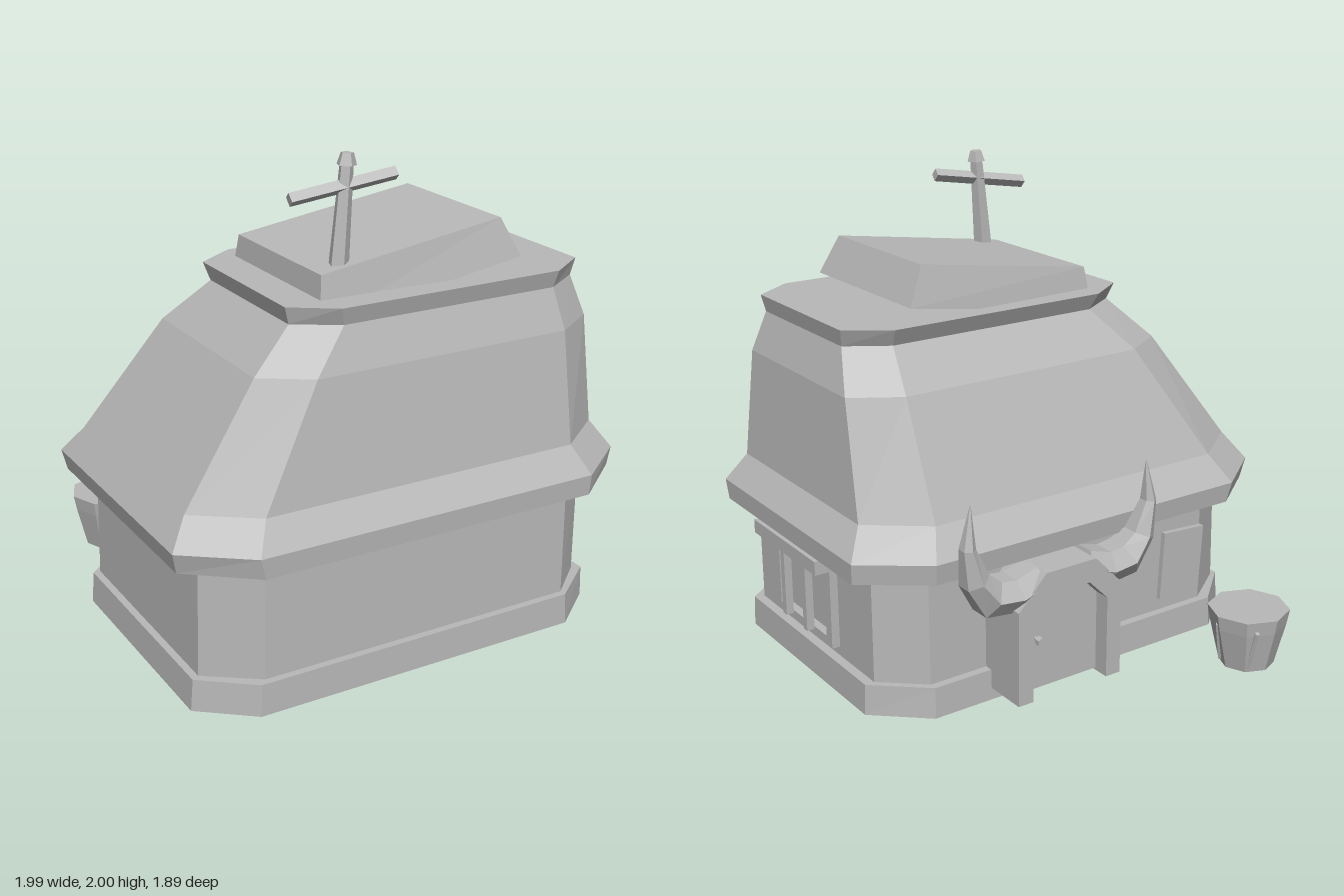
import * as THREE from 'three';

const stone = new THREE.MeshStandardMaterial({ color: 0xb8b8b8, flatShading: true, side: THREE.DoubleSide });
stone.name = 'plain grey';

const V = (x, y, z) => new THREE.Vector3(x, y, z);

// Flat-faced skin over a stack of rings (counter-clockwise seen from the end)
function loft(rings, capStart = true, capEnd = true) {
  const pos = [];
  const tri = (...p) => p.forEach(v => pos.push(v.x, v.y, v.z));
  const n = rings[0].length;
  for (let i = 0; i + 1 < rings.length; i++) {
    for (let j = 0; j < n; j++) {
      const k = (j + 1) % n, a = rings[i], b = rings[i + 1];
      tri(a[j], a[k], b[k]);
      tri(a[j], b[k], b[j]);
    }
  }
  const s = rings[0], e = rings[rings.length - 1];
  for (let j = 1; j < n - 1; j++) {
    if (capStart) tri(s[0], s[j + 1], s[j]);
    if (capEnd) tri(e[0], e[j], e[j + 1]);
  }
  const g = new THREE.BufferGeometry();
  g.setAttribute('position', new THREE.Float32BufferAttribute(pos, 3));
  g.computeVertexNormals();
  return g;
}

// Chamfered rectangle: outer x, x of the cut corners, outer z, z of the cut corners
function octagon(y, [x0, x1], [cx0, cx1], [z0, z1], [cz0, cz1]) {
  return [[x1, cz1], [x1, cz0], [cx1, z0], [cx0, z0], [x0, cz0], [x0, cz1], [cx0, z1], [cx1, z1]]
    .map(([x, z]) => V(x, y, z));
}

export function createModel() {
  const root = new THREE.Group();
  root.name = 'hut';

  const add = (name, geometry, parent = root) => {
    const m = new THREE.Mesh(geometry, stone);
    m.name = name;
    parent.add(m);
    return m;
  };
  const group = name => {
    const g = new THREE.Group();
    g.name = name;
    root.add(g);
    return g;
  };
  // Box given by its extents
  const box = (name, [x0, x1], [y0, y1], [z0, z1], parent) => {
    const m = add(name, new THREE.BoxGeometry(x1 - x0, y1 - y0, z1 - z0), parent);
    m.position.set((x0 + x1) / 2, (y0 + y1) / 2, (z0 + z1) / 2);
    return m;
  };
  // Tapered bar between two points
  const bar = (name, a, b, ra, rb, sides, parent) => {
    const d = b.clone().sub(a);
    const m = add(name, new THREE.CylinderGeometry(rb, ra, d.length(), sides), parent);
    m.position.copy(a).add(b).multiplyScalar(0.5);
    m.quaternion.setFromUnitVectors(V(0, 1, 0), d.normalize());
    return m;
  };

  // Plinth (hollow underneath) and walls
  add('plinth', loft([
    octagon(0, [-0.92, 0.915], [-0.71, 0.705], [-0.445, 0.875], [-0.26, 0.71]),
    octagon(0.13, [-0.91, 0.91], [-0.705, 0.70], [-0.44, 0.87], [-0.26, 0.71]),
  ], false, true));
  add('walls', loft([
    octagon(0.13, [-0.88, 0.87], [-0.675, 0.70], [-0.405, 0.84], [-0.26, 0.695]),
    octagon(0.61, [-0.87, 0.87], [-0.67, 0.70], [-0.40, 0.835], [-0.26, 0.695]),
  ]));

  // Roof
  const roofTop = octagon(1.42, [-0.46, 0.815], [-0.29, 0.65], [-0.10, 0.745], [0.005, 0.64]);
  add('roof', loft([
    octagon(0.60, [-0.975, 0.985], [-0.72, 0.73], [-0.51, 0.94], [-0.32, 0.74]),
    octagon(0.685, [-0.995, 0.99], [-0.74, 0.735], [-0.52, 0.945], [-0.33, 0.755]),
    octagon(0.80, [-0.92, 0.91], [-0.68, 0.68], [-0.43, 0.87], [-0.25, 0.70]),
    octagon(1.255, [-0.62, 0.87], [-0.43, 0.675], [-0.23, 0.80], [-0.11, 0.675]),
    roofTop,
  ]));
  add('roofRim', loft([
    roofTop,
    octagon(1.49, [-0.48, 0.83], [-0.31, 0.66], [-0.135, 0.765], [-0.02, 0.65]),
  ]));

  // Tilted slab on top of the roof
  add('roofSlab', loft([
    [V(0.545, 1.54, 0.67), V(0.545, 1.54, -0.06), V(-0.34, 1.40, -0.05), V(-0.34, 1.40, 0.66)],
    [V(0.47, 1.695, 0.63), V(0.47, 1.695, -0.02), V(-0.32, 1.58, -0.02), V(-0.32, 1.58, 0.63)],
  ]));

  // Leaning roof cross
  const cross = group('roofCross');
  bar('post', V(-0.22, 1.49, 0.57), V(-0.175, 1.96, 0.56), 0.043, 0.027, 5, cross);
  bar('postCap', V(-0.175, 1.955, 0.56), V(-0.172, 2.0, 0.56), 0.039, 0.025, 5, cross);
  bar('crossbar', V(-0.40, 1.848, 0.54), V(0.02, 1.91, 0.585), 0.027, 0.027, 4, cross);

  // Arched doorway on the back wall
  const door = group('doorway');
  const doorX = 0.19;
  const arch = (w, y0, y1, topW, y2) => [[-w, y0], [w, y0], [w, y1], [topW, y2], [-topW, y2], [-w, y1]]
    .map(([x, y]) => new THREE.Vector2(x + doorX, y));
  const frame = new THREE.Shape([
    ...arch(0.25, 0.05, 0.45, 0.12, 0.585).slice(1),
    ...arch(0.25, 0.05, 0.45, 0.12, 0.585).slice(0, 1),
    ...[[-0.18, 0.05], [-0.18, 0.40], [-0.09, 0.49], [0.09, 0.49], [0.18, 0.40], [0.18, 0.05]]
      .map(([x, y]) => new THREE.Vector2(x + doorX, y)),
  ]);
  add('doorFrame', new THREE.ExtrudeGeometry(frame, { depth: 0.25, bevelEnabled: false }), door)
    .position.z = -0.63;
  const panel = new THREE.Shape(arch(0.185, 0.06, 0.40, 0.09, 0.495));
  add('doorPanel', new THREE.ExtrudeGeometry(panel, { depth: 0.15, bevelEnabled: false }), door)
    .position.z = -0.56;
  bar('knobStem', V(0.31, 0.28, -0.55), V(0.31, 0.28, -0.59), 0.01, 0.01, 6, door);
  bar('knob', V(0.31, 0.28, -0.58), V(0.31, 0.28, -0.605), 0.02, 0.02, 6, door);

  // Horns curling up from both sides of the arch: offset, height, z, z radius, radius
  const hornPath = [
    [0.11, 0.535, -0.54, 0.085, 0.075], [0.22, 0.50, -0.54, 0.095, 0.08],
    [0.33, 0.51, -0.535, 0.095, 0.085], [0.40, 0.60, -0.55, 0.07, 0.06],
    [0.435, 0.74, -0.56, 0.04, 0.03], [0.42, 0.91, -0.56, 0.002, 0.002],
  ];
  for (const side of [-1, 1]) {
    const pts = hornPath.map(p => V(doorX + side * p[0], p[1], p[2]));
    const rings = hornPath.map(([, , , rz, r], i) => {
      const t = pts[Math.min(i + 1, 5)].clone().sub(pts[Math.max(i - 1, 0)]).setZ(0).normalize();
      const v = t.cross(V(0, 0, 1));
      return Array.from({ length: 6 }, (_, j) => {
        const a = j * Math.PI / 3;
        return pts[i].clone().addScaledVector(v, r * Math.sin(a)).add(V(0, 0, rz * Math.cos(a)));
      });
    });
    add(side > 0 ? 'leftHorn' : 'rightHorn', loft(rings), door);
  }

  // Barred window on the left wall
  const win = group('window');
  box('lintel', [0.86, 0.98], [0.52, 0.578], [-0.015, 0.515], win);
  box('sill', [0.86, 0.905], [0.17, 0.21], [0.01, 0.495], win);
  box('head', [0.86, 0.905], [0.48, 0.52], [0.01, 0.495], win);
  box('frontJamb', [0.86, 0.905], [0.21, 0.48], [0.452, 0.495], win);
  box('backJamb', [0.86, 0.905], [0.21, 0.48], [0.01, 0.055], win);
  for (const z of [0.342, 0.16]) box('windowBar', [0.912, 0.945], [0.205, 0.492], [z - 0.015, z + 0.015], win);

  // Crooked board on the back wall
  box('wallBoard', [-0.665, -0.45], [0.18, 0.48], [-0.425, -0.395]).rotation.z = 0.06;

  // Bucket with slanting slats
  const bucket = group('bucket');
  bucket.position.set(-0.62, 0, -0.78);
  const profile = [[0, 0], [0.115, 0], [0.158, 0.18], [0.17, 0.245], [0, 0.245]]
    .map(([x, y]) => new THREE.Vector2(x, y));
  add('tub', new THREE.LatheGeometry(profile, 8), bucket);
  bar('slat', V(0.10, 0.02, 0.05), V(0.15, 0.20, 0.02), 0.012, 0.012, 4, bucket);
  bar('slat', V(0.07, 0.02, -0.085), V(0.08, 0.20, -0.14), 0.012, 0.012, 4, bucket);

  return root;
}
